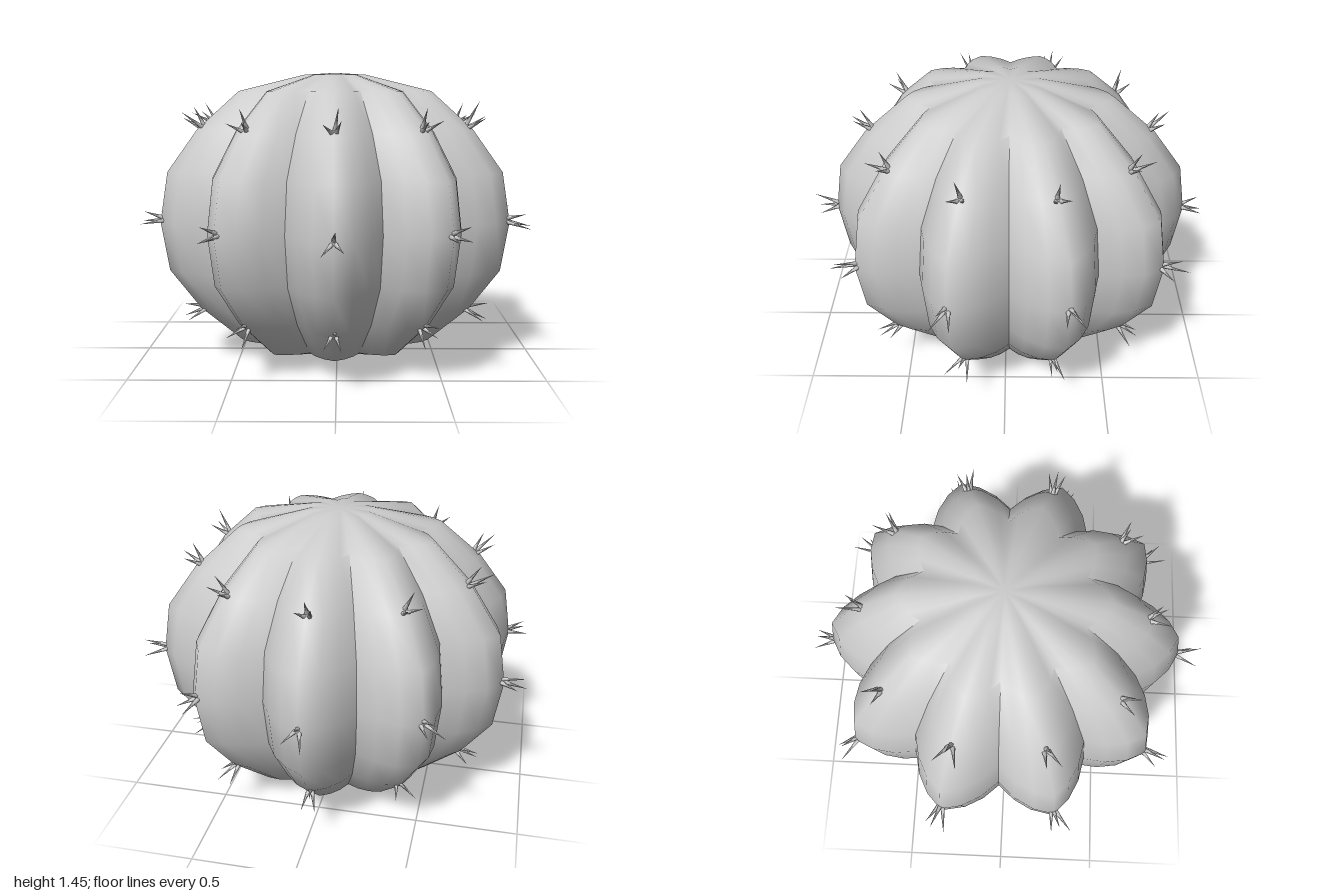
import * as THREE from 'three';
import { toCreasedNormals } from 'three/addons/utils/BufferGeometryUtils.js';

const RIBS = 10;
const MID_Y = 0.725;
const material = new THREE.MeshStandardMaterial({ color: 0xcccccc });

// Small seeded random in -1..1
function seeded(seed) {
  return () => {
    seed = (seed * 16807) % 2147483647;
    return (seed / 2147483647) * 2 - 1;
  };
}

// Ribbed barrel: a lathe whose radius follows the rib cross-section
function createBody() {
  const upper = [[0.9, MID_Y], [0.86, 0.97], [0.71, 1.175], [0.5, 1.36], [0.165, 1.44], [0, 1.45]];
  const lower = upper.slice(1).reverse().map(([r, y]) => [r, 2 * MID_Y - y]);
  const profile = [...lower, ...upper].map(([r, y]) => new THREE.Vector2(r, y));
  // Radius factors from the crest of a rib to the valley and back
  const ribShape = [1, 0.95, 0.878, 0.79, 0.878, 0.95];
  const geometry = new THREE.LatheGeometry(profile, RIBS * ribShape.length);
  const pos = geometry.attributes.position;
  for (let i = 0; i < pos.count; i++) {
    const k = ribShape[Math.floor(i / profile.length) % ribShape.length];
    pos.setX(i, pos.getX(i) * k);
    pos.setZ(i, pos.getZ(i) * k);
  }
  const body = new THREE.Mesh(toCreasedNormals(geometry, 1.15), material);
  body.name = 'ribbedBody';
  return body;
}

// Three spines fanning out along +z: one above, two below
function createSpineCluster(geometry, random) {
  const cluster = new THREE.Group();
  cluster.name = 'spineCluster';
  for (let i = 0; i < 3; i++) {
    const around = Math.PI / 2 + (i * Math.PI * 2) / 3 + random() * 0.4;
    const tilt = 0.36 + random() * 0.14;
    const spine = new THREE.Mesh(geometry, material);
    spine.name = 'spine';
    spine.position.set(Math.cos(around) * 0.012, Math.sin(around) * 0.012, 0);
    const direction = new THREE.Vector3(
      Math.cos(around) * Math.sin(tilt), Math.sin(around) * Math.sin(tilt), Math.cos(tilt));
    spine.quaternion.setFromUnitVectors(new THREE.Vector3(0, 1, 0), direction);
    spine.scale.y = 1 + random() * 0.2;
    cluster.add(spine);
  }
  return cluster;
}

export function createModel() {
  const model = new THREE.Group();
  model.name = 'barrelCactus';
  const plant = new THREE.Group();
  plant.name = 'plant';
  plant.position.set(-0.01, 0, -0.02);
  model.add(plant);
  plant.add(createBody());

  // Spine with its base slightly sunk into the body
  const spineGeometry = new THREE.ConeGeometry(0.013, 0.13, 6);
  spineGeometry.translate(0, 0.045, 0);

  // Spine clusters on every rib crest at three heights: radius, height, upward pitch
  const rows = [[0.685, 1.19, 0.72], [0.89, 0.735, 0.03], [0.69, 0.275, -0.3]];
  const random = seeded(4711);
  for (let rib = 0; rib < RIBS; rib++) {
    const arm = new THREE.Group();
    arm.name = 'ribSpines';
    arm.rotation.y = (rib / RIBS) * Math.PI * 2;
    for (const [r, y, pitch] of rows) {
      const cluster = createSpineCluster(spineGeometry, random);
      cluster.position.set(0, y, r);
      cluster.rotation.x = -pitch;
      arm.add(cluster);
    }
    plant.add(arm);
  }
  return model;
}
